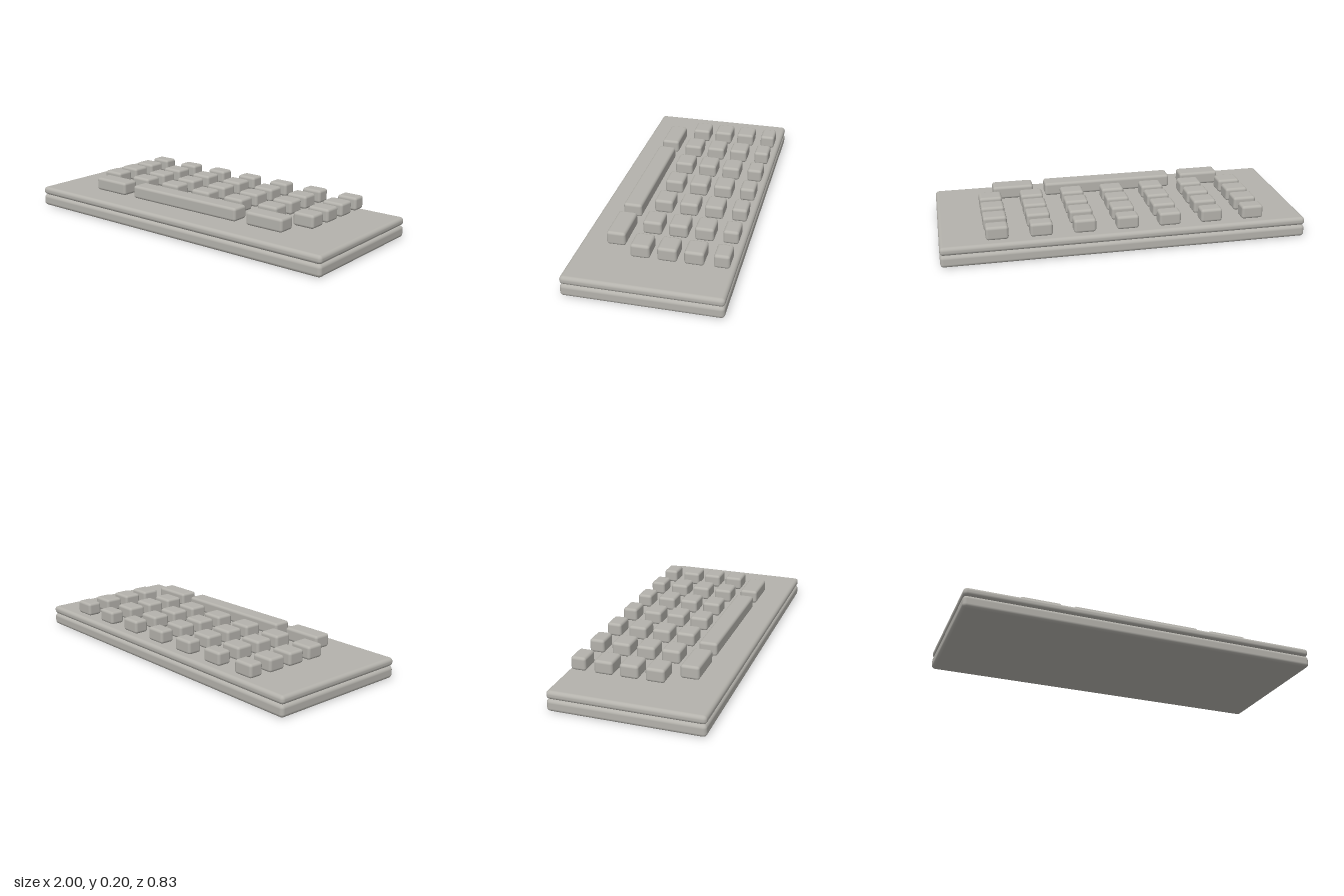
import * as THREE from 'three';
import { RoundedBoxGeometry } from 'three/addons/geometries/RoundedBoxGeometry.js';

const casing = new THREE.MeshStandardMaterial({ color: 0xb4b2ac });
casing.name = 'warm grey';

// Rounded block spanning yMin..yMax, centred on x and z
function block(name, width, depth, yMin, yMax, radius, x = 0, z = 0) {
  const geometry = new RoundedBoxGeometry(width, yMax - yMin, depth, 3, radius);
  const mesh = new THREE.Mesh(geometry, casing);
  mesh.name = name;
  mesh.position.set(x, (yMin + yMax) / 2, z);
  return mesh;
}

export function createModel() {
  const model = new THREE.Group();
  model.name = 'keyboard';

  // Two stacked case slabs
  model.add(block('caseBottom', 2, 0.833, 0, 0.067, 0.02));
  model.add(block('caseTop', 2, 0.833, 0.067, 0.113, 0.02));

  const keys = new THREE.Group();
  keys.name = 'keys';
  model.add(keys);
  const addKey = (name, width, depth, x, z) =>
    keys.add(block(name, width, depth, 0.123, 0.197, 0.015, x, z));

  // Four rows of seven keys, the rear row being slightly smaller
  const rows = [
    { name: 'functionKey', z: -0.349, width: 0.12, depth: 0.083 },
    { name: 'letterKey', z: -0.209, width: 0.127, depth: 0.102 },
    { name: 'letterKey', z: -0.07, width: 0.127, depth: 0.102 },
    { name: 'letterKey', z: 0.07, width: 0.127, depth: 0.102 },
  ];
  for (const row of rows) {
    for (let i = -3; i <= 3; i++) addKey(row.name, row.width, row.depth, i * 0.2326, row.z);
  }

  // Front row: space bar with a wide key at each side
  addKey('spaceBar', 0.744, 0.102, 0, 0.223);
  for (const side of [-1, 1]) addKey('modifierKey', 0.231, 0.102, side * 0.557, 0.223);

  return model;
}
